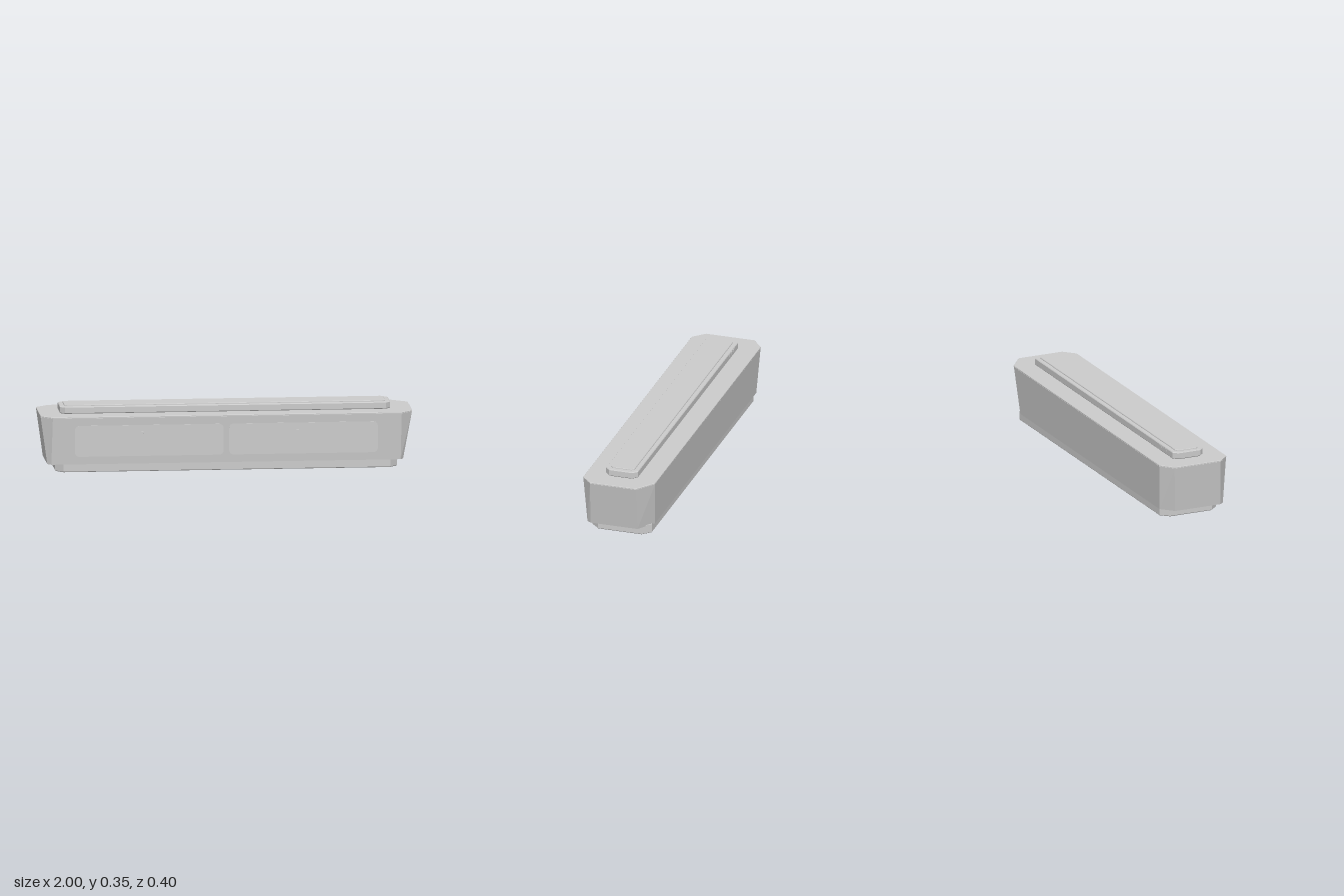
import * as THREE from 'three';

const grey = new THREE.MeshStandardMaterial({ color: 0xcccccc });
grey.name = 'light grey';

// Closed faceted solid from rings [y, [[x, z], ...]], bottom to top, counter-clockwise from above
function loft(rings) {
  const pos = [];
  const at = (r, i) => {
    const [y, pts] = rings[r];
    const [x, z] = pts[i % pts.length];
    return [x, y, z];
  };
  const n = rings[0][1].length, top = rings.length - 1;
  for (let r = 0; r < top; r++) {
    for (let i = 0; i < n; i++) {
      const a = at(r, i), b = at(r, i + 1), c = at(r + 1, i + 1), d = at(r + 1, i);
      pos.push(...a, ...b, ...c, ...a, ...c, ...d);
    }
  }
  for (let i = 1; i < n - 1; i++) {
    pos.push(...at(top, 0), ...at(top, i), ...at(top, i + 1));
    pos.push(...at(0, 0), ...at(0, i + 1), ...at(0, i));
  }
  const g = new THREE.BufferGeometry();
  g.setAttribute('position', new THREE.Float32BufferAttribute(pos, 3));
  g.computeVertexNormals();
  return g;
}

// Rectangle with cut corners, cx and cz being the length of each cut
function octagon(x0, x1, z0, z1, cx, cz) {
  return [
    [x1 - cx, z1], [x1, z1 - cz], [x1, z0 + cz], [x1 - cx, z0],
    [x0 + cx, z0], [x0, z0 + cz], [x0, z1 - cz], [x0 + cx, z1],
  ];
}

const inset = (pts, d) => pts.map(([x, z]) => [x - Math.sign(x) * d, z - Math.sign(z) * d]);

function roundedRect(w, h, r) {
  const s = new THREE.Shape();
  const x = w / 2, y = h / 2;
  s.moveTo(-x + r, -y);
  s.lineTo(x - r, -y);
  s.absarc(x - r, -y + r, r, -Math.PI / 2, 0);
  s.absarc(x - r, y - r, r, 0, Math.PI / 2);
  s.absarc(-x + r, y - r, r, Math.PI / 2, Math.PI);
  s.absarc(-x + r, -y + r, r, Math.PI, Math.PI * 1.5);
  return s;
}

export function createModel() {
  const model = new THREE.Group();
  model.name = 'lowSideboard';
  const add = (name, geometry, x = 0, y = 0, z = 0, parent = model) => {
    const m = new THREE.Mesh(geometry, grey);
    m.name = name;
    m.position.set(x, y, z);
    parent.add(m);
    return m;
  };

  // Recessed plinth with a small bevel at the floor
  const foot = octagon(-0.92, 0.92, -0.173, 0.162, 0.04, 0.043);
  add('plinth', loft([[0, inset(foot, 0.003)], [0.004, foot], [0.05, foot]]));

  // Flared body with uneven cut corners
  const low = [
    [0.935, 0.172], [0.95, 0.15], [0.95, -0.115], [0.85, -0.182],
    [-0.9, -0.182], [-0.965, -0.12], [-0.965, 0.15], [-0.945, 0.172],
  ];
  const high = [
    [0.94, 0.195], [1, 0.138], [1, -0.122], [0.9, -0.198],
    [-0.93, -0.198], [-1, -0.14], [-1, 0.135], [-0.94, 0.195],
  ];
  add('body', loft([[0.044, low], [0.297, inset(high, 0.001)]]));

  // Thin rim above a narrow seam
  add('rimSeam', loft([[0.296, inset(high, 0.004)], [0.301, inset(high, 0.004)]]));
  add('rim', loft([[0.299, high], [0.303, high], [0.305, inset(high, 0.002)]]));

  // Raised lid with a thin inset panel on top
  const lid = octagon(-0.89, 0.888, -0.09, 0.09, 0.025, 0.025);
  add('lid', loft([
    [0.305, inset(lid, 0.003)], [0.309, lid], [0.339, lid], [0.343, inset(lid, 0.003)],
  ]));
  const panel = octagon(-0.865, 0.863, -0.066, 0.067, 0.015, 0.015);
  add('lidPanel', loft([[0.342, panel], [0.346, panel], [0.349, inset(panel, 0.002)]]));

  // Three small buttons on the back of the lid
  for (let i = 0; i < 3; i++) {
    add('lidButton', new THREE.BoxGeometry(0.018, 0.012, 0.006), -0.79 + i * 0.035, 0.331, -0.089);
  }

  // Two upright drawer fronts, each with a short bar handle on pegs
  for (const [x, hx] of [[-0.42, 0], [0.41, 0.005]]) {
    const drawer = new THREE.Group();
    drawer.name = 'drawer';
    drawer.position.set(x, 0.173, 0.193);
    model.add(drawer);
    const front = new THREE.ExtrudeGeometry(roundedRect(0.8, 0.168, 0.025),
      { depth: 0.003, bevelEnabled: false, curveSegments: 6 });
    add('drawerFront', front, 0, 0, 0, drawer);
    add('handleBar', new THREE.BoxGeometry(0.085, 0.006, 0.004), hx, 0.045, 0.005, drawer);
    for (const px of [-0.025, 0, 0.025]) {
      add('handlePeg', new THREE.BoxGeometry(0.01, 0.006, 0.003), hx + px, 0.04, 0.0045, drawer);
    }
  }

  return model;
}
